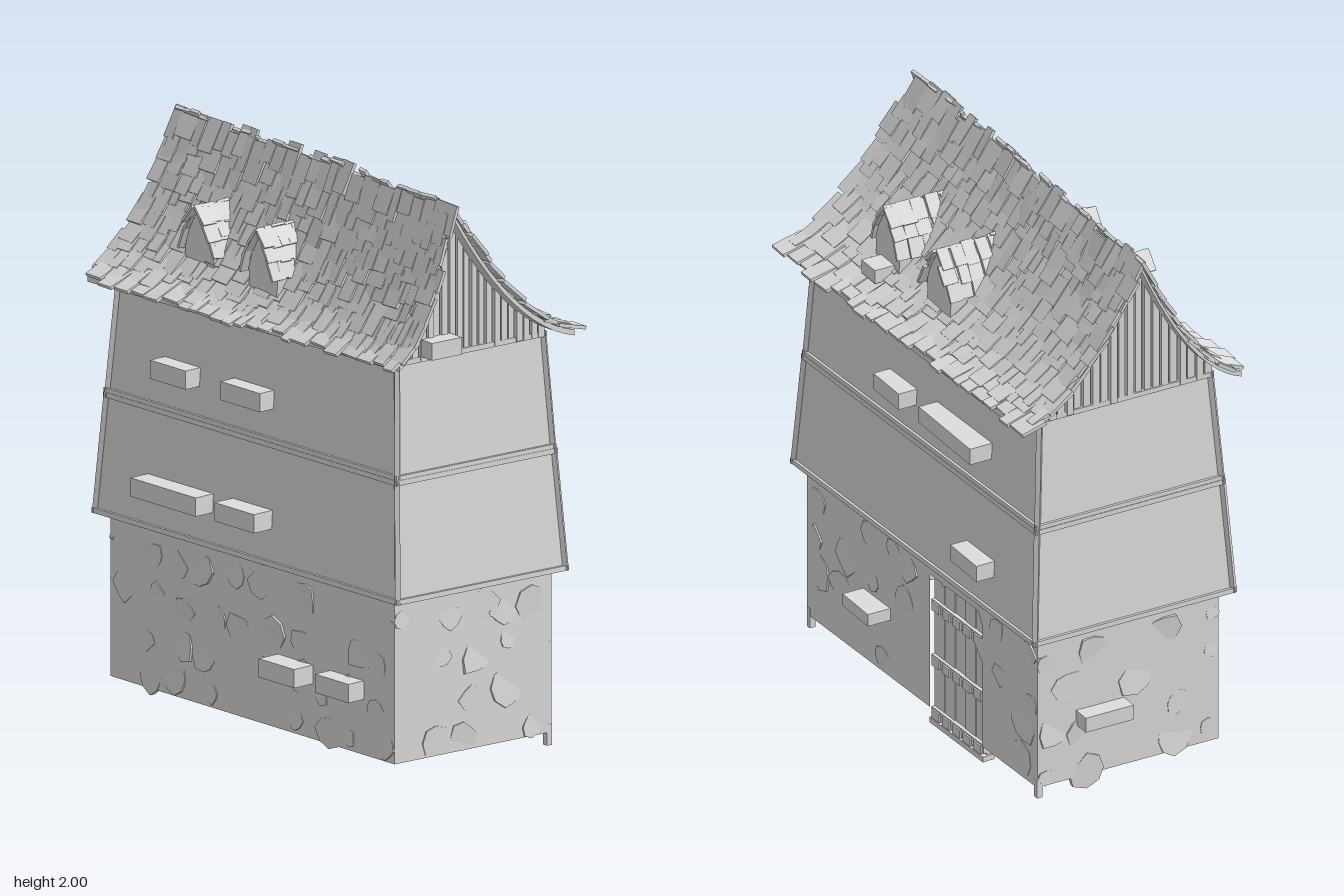
import * as THREE from 'three';
import { mergeGeometries } from 'three/addons/utils/BufferGeometryUtils.js';

const grey = new THREE.MeshStandardMaterial({ color: 0xdddddd, flatShading: true, side: THREE.DoubleSide });
grey.name = 'plain grey';

let seed = 7;
const rand = (a = 0, b = 1) => {
  seed = (seed * 16807) % 2147483647;
  return a + (b - a) * (seed / 2147483647);
};
const lerp = THREE.MathUtils.lerp;
const V = (x, y, z) => new THREE.Vector3(x, y, z);
const shape = pts => new THREE.Shape(pts.map(q => new THREE.Vector2(...q)));

function add(parent, name, geos) {
  const list = [].concat(geos).map(g => (g.index ? g.toNonIndexed() : g));
  const mesh = new THREE.Mesh(list.length > 1 ? mergeGeometries(list) : list[0], grey);
  mesh.name = name;
  parent.add(mesh);
  return mesh;
}
function block(x0, x1, y0, y1, z0, z1) {
  return new THREE.BoxGeometry(x1 - x0, y1 - y0, z1 - z0)
    .translate((x0 + x1) / 2, (y0 + y1) / 2, (z0 + z1) / 2);
}
function beam(a, b, t) {
  const d = b.clone().sub(a);
  return new THREE.BoxGeometry(t, t, d.length() + t).lookAt(d).translate(...a.clone().add(b).multiplyScalar(0.5));
}
// Thin board lying on a slope: d points down the slope, zAxis runs along it
function shingle(p, d, zAxis, length, width, thick) {
  const n = zAxis.clone().cross(d).normalize();
  const g = new THREE.BoxGeometry(length, thick, width);
  g.rotateX(rand(-0.06, 0.06)).rotateZ(rand(0.02, 0.12)).rotateY(rand(-0.04, 0.04));
  g.applyMatrix4(new THREE.Matrix4().makeBasis(d, n, zAxis).setPosition(p));
  return g;
}

// Floor plan: both long walls are skewed towards the left at the back
const SKEW = 0.06;
const plan = (y, right, leftFront, leftBack, z) => ({ y, right, leftFront, leftBack, z });
const corner = (s, sx, sz) => V(sx > 0 ? s.right - (sz > 0 ? 0 : SKEW) : sz > 0 ? s.leftFront : s.leftBack,
  s.y, Math.sign(sz) * s.z);
const RING = [[-1, 1], [1, 1], [1, -1], [-1, -1]];
const ground = plan(0.06, 0.375, -0.285, -0.385, 0.72);

// Roof: concave slope, u = 0 at the ridge and 1 at the eave
const RIDGE = -0.07;
const slope = u => 1.455 + 0.5 * (0.75 * (1 - u) ** 2 + 0.25 * (1 - u));
const eave = (s, z) => (s > 0 ? lerp(0.38, 0.445, (z + 0.77) / 1.54) : lerp(-0.455, -0.29, (z + 0.77) / 1.54));
const roofPoint = (s, u, z) => V(lerp(RIDGE, eave(s, z), u), slope(u), z);
const roofY = (x, z) => slope((x - RIDGE) / (eave(x < RIDGE ? -1 : 1, z) - RIDGE));

function stoneBase() {
  const g = new THREE.Group();
  g.name = 'stoneBase';
  const c = RING.map(([sx, sz]) => corner(ground, sx, sz));
  ['front', 'right', 'back', 'left'].forEach((name, i) => {
    const p = c[i], d = c[(i + 1) % 4].clone().sub(p), len = d.length();
    const wall = new THREE.Group();
    wall.name = name + 'Wall';
    wall.position.set(p.x, 0, p.z);
    wall.rotation.y = Math.atan2(-d.z, d.x);
    const hasDoor = i === 1;
    const notch = [[0.77, 0.06], [0.77, 0.565], [0.84, 0.565], [0.85, 0.55], [0.87, 0.565], [1.07, 0.565], [1.095, 0.52],
      [1.095, 0.47], [1.04, 0.44], [1.095, 0.38], [1.095, 0.06]];
    const outline = [[0, 0.06], ...(hasDoor ? notch : []), [len, 0.06], [len, 0.64], [0, 0.64]];
    add(wall, 'masonry', new THREE.ShapeGeometry(shape(outline)));

    // Irregular, slightly tilted stones set through the wall
    const stones = [], cols = Math.round(len / 0.145);
    for (let r = 0; r < 4; r++) for (let k = 0; k < cols; k++) {
      const x = ((k + 0.5 + rand(-0.35, 0.35)) / cols) * len, y = 0.1 + r * 0.145 + rand(-0.025, 0.025);
      const size = Math.min(rand(0.035, 0.075), x, len - x, 0.62 - y);
      if (size < 0.025 || rand() < 0.2 || (hasDoor && x > 0.71 && x < 1.15)) continue;
      const pts = [];
      for (let a = 0; a < 8; a++) {
        const rad = size * rand(0.7, 1.15), t = (a / 8) * Math.PI * 2;
        pts.push([Math.cos(t) * rad, Math.sin(t) * rad]);
      }
      const stone = new THREE.ExtrudeGeometry(shape(pts), { depth: 0.02, bevelEnabled: false });
      stone.translate(0, 0, -0.018).rotateX(rand(-0.1, 0.1)).rotateY(rand(-0.1, 0.1)).translate(x, y, 0);
      stones.push(stone);
    }
    add(wall, 'stones', stones);
    g.add(wall);
  });
  add(g, 'cornerStones', [block(0.355, 0.376, 0.015, 0.09, 0.7, 0.721), block(0.295, 0.316, 0.02, 0.09, -0.721, -0.7)]);
  return g;
}

// Door, built square and then turned into the skewed right wall
function door() {
  const g = new THREE.Group();
  g.name = 'door';
  const planks = [], bands = [];
  for (let i = 0; i < 5; i++) {
    const z = -0.05 - i * 0.065;
    planks.push(block(0.33, 0.355 + rand(0, 0.005), 0.01, 0.57, z - 0.062, z));
  }
  for (const y of [0.045, 0.245, 0.455]) {
    bands.push(block(0.34, 0.37, y - 0.016, y + 0.016, -0.375, -0.05));
    for (let i = 0; i < 5; i++) bands.push(block(0.36, 0.376, y - 0.021, y + 0.012, -0.105 - i * 0.065, -0.06 - i * 0.065));
  }
  add(g, 'doorPlanks', planks);
  add(g, 'doorBands', bands);
  add(g, 'threshold', block(0.33, 0.375, 0, 0.02, -0.38, -0.045));
  g.rotation.y = SKEW / 1.44;
  g.position.set(-SKEW / 2, 0, 0.016);
  return g;
}

// Tapering plaster storey with timber trim along every edge
function storey(name, bottom, top) {
  const g = new THREE.Group();
  g.name = name;
  const box = new THREE.BoxGeometry(1, 1, 1), pos = box.attributes.position;
  for (let i = 0; i < pos.count; i++) {
    const q = corner(pos.getY(i) > 0 ? top : bottom, pos.getX(i), pos.getZ(i));
    pos.setXYZ(i, q.x, q.y, q.z);
  }
  add(g, 'plaster', box);
  const beams = [];
  RING.forEach((a, i) => {
    const b = RING[(i + 1) % 4];
    for (const s of [bottom, top]) beams.push(beam(corner(s, ...a), corner(s, ...b), 0.018));
    beams.push(beam(corner(bottom, ...a), corner(top, ...a), 0.018));
  });
  add(g, 'timberTrim', beams);
  return g;
}

function roof() {
  const g = new THREE.Group();
  g.name = 'roof';
  const curve = new THREE.SplineCurve(Array.from({ length: 13 }, (_, i) => new THREE.Vector2(i / 12 * 0.45, slope(i / 12))));
  for (const s of [-1, 1]) {
    const sheet = new THREE.BoxGeometry(1, 1, 1, 12, 1, 1), pos = sheet.attributes.position;
    for (let i = 0; i < pos.count; i++) {
      const p = roofPoint(s, 0.5 + s * pos.getX(i), pos.getZ(i) * 1.51);
      pos.setXYZ(i, p.x, p.y + (pos.getY(i) > 0 ? 0 : -0.02), p.z);
    }
    add(g, 'roofDeck', sheet);
    const tiles = [], rows = 12, zAxis = V(0, 0, s);
    for (let r = 0; r < rows; r++) {
      let z = -0.765 + rand(-0.025, 0.025);
      while (z < 0.75) {
        const w = rand(0.035, 0.09), t = THREE.MathUtils.clamp((r + 0.5) / rows + rand(-0.025, 0.025), 0.02, 0.98);
        const mid = Math.min(z + w / 2, 0.755), u = curve.getPointAt(t).x / 0.45;
        const d = roofPoint(s, u + 0.01, mid).sub(roofPoint(s, u - 0.01, mid)).normalize();
        const p = roofPoint(s, u, mid).addScaledVector(zAxis.clone().cross(d), rand(0.007, 0.013));
        tiles.push(shingle(p, d, zAxis, rand(0.075, 0.125), w * rand(0.9, 1.05), 0.012));
        z += w;
      }
    }
    add(g, 'shingles', tiles);
  }
  // Gable ends of upright planks cut to the roof slope, over a thin backing
  for (const sz of [-1, 1]) {
    const z = sz * 0.685, left = sz > 0 ? -0.265 : -0.37, right = sz > 0 ? 0.355 : 0.3, n = 20, planks = [];
    const strip = (x0, x1, depth) => {
      const pts = [[x0, 1.44], [x1, 1.44], [x1, roofY(x1, z) - 0.005], [x0, roofY(x0, z) - 0.005]];
      const plank = new THREE.ExtrudeGeometry(shape(pts), { depth, bevelEnabled: false });
      planks.push(plank.translate(0, 0, sz > 0 ? z : z - depth));
    };
    for (let i = 0; i < n; i++) {
      const x0 = lerp(left, right, i / n), x1 = lerp(left, right, (i + 1) / n);
      strip(x0, x1, 0.004);
      strip(x0 + rand(0.002, 0.006), x1 - rand(0.002, 0.006), rand(0.018, 0.03));
    }
    add(g, sz > 0 ? 'frontGable' : 'backGable', planks);
  }
  return g;
}

function dormer(s, z0) {
  const g = new THREE.Group();
  g.name = 'dormer';
  const front = s > 0 ? 0.28 : -0.29, back = s > 0 ? 0.04 : -0.14, tip = front + s * 0.02;
  const arch = [[0, 1.755], [0.03, 1.715], [0.06, 1.665], [0.08, 1.61]];
  const outline = [...arch, [0.075, 1.5], [-0.075, 1.5], ...arch.slice(1).reverse().map(([a, y]) => [-a, y])];
  const body = new THREE.ExtrudeGeometry(shape(outline), { depth: Math.abs(front - back), bevelEnabled: false });
  add(g, 'dormerBody', body.rotateY(s * Math.PI / 2).translate(back, 0, z0));
  const tiles = [];
  for (const side of [-1, 1]) for (let r = 0; r < 3; r++) for (let k = 0; k < 5; k++) {
    const [a, b] = [arch[r], arch[r + 1]];
    const d = V(0, b[1] - a[1], side * (b[0] - a[0])).normalize(), axis = V(-side, 0, 0);
    const p = V(lerp(back, tip, (k + 0.5) / 5) + rand(-0.008, 0.008), (a[1] + b[1]) / 2, z0 + side * ((a[0] + b[0]) / 2 + 0.008));
    tiles.push(shingle(p, d, axis, rand(0.065, 0.09), rand(0.04, 0.06), 0.01));
  }
  add(g, 'dormerShingles', tiles);
  return g;
}

export function createModel() {
  const model = new THREE.Group();
  model.name = 'house';
  model.add(stoneBase(), door());
  model.add(storey('middleStorey', plan(0.635, 0.405, -0.3, -0.42, 0.757), plan(1.04, 0.38, -0.28, -0.395, 0.727)));
  model.add(storey('upperStorey', plan(1.055, 0.377, -0.278, -0.393, 0.725), plan(1.445, 0.355, -0.26, -0.365, 0.7)));
  model.add(roof());
  for (const [s, z] of [[1, 0.345], [1, 0], [-1, -0.35], [-1, 0]]) model.add(dormer(s, z));

  // Projecting ledges: inner x, outer x, y range, z range
  const ledges = [
    [0.3, 0.41, 1.165, 1.225, 0.045, 0.215], [0.28, 0.405, 1.175, 1.235, -0.425, -0.08],
    [0.3, 0.415, 0.76, 0.82, -0.485, -0.31], [0.33, 0.44, 0.275, 0.32, 0.2, 0.37],
    [0.26, 0.355, 1.51, 1.56, 0.3, 0.39], [-0.02, 0.165, 0.26, 0.315, -0.785, -0.68],
    [-0.165, -0.04, 1.455, 1.515, 0.66, 0.77],
  ];
  ledges.forEach(l => add(model, 'ledge', block(...l)));
  // Ledges following the skewed left wall: outer x, y, z, length
  const leftLedges = [[-0.42, 1.195, -0.36, 0.18], [-0.39, 1.195, 0.0, 0.2], [-0.455, 0.78, -0.34, 0.33],
    [-0.43, 0.785, 0.02, 0.2], [-0.405, 0.285, 0.22, 0.18], [-0.37, 0.285, 0.48, 0.17]];
  for (const [x, y, z, len] of leftLedges) {
    const m = add(model, 'ledge', new THREE.BoxGeometry(0.11, 0.065, len));
    m.position.set(x + 0.055, y, z);
    m.rotation.y = 0.07;
  }
  return model;
}
